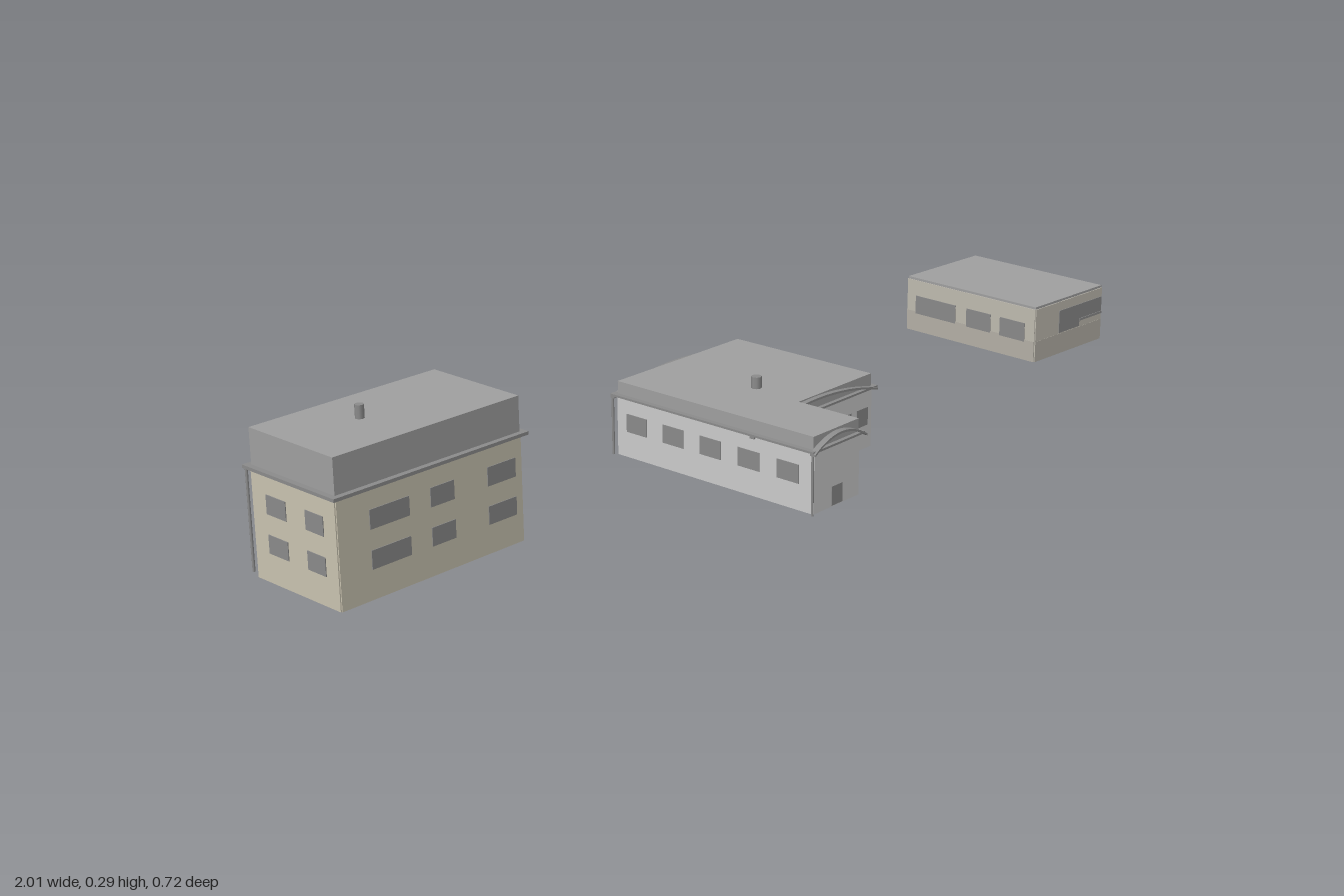
import * as THREE from 'three';

const mat = (color) => new THREE.MeshStandardMaterial({ color, side: THREE.DoubleSide });
const M = {
  roof: mat(0xa0a0a0), beige: mat(0xc9c3b0), stone: mat(0xbfbbb0), plinth: mat(0xb4b0a6),
  grey: mat(0xcccccc), window: mat(0x8a8a8a), glass: mat(0x8598a8), trim: mat(0x8c8c8c),
};

function add(parent, geometry, material, name) {
  const mesh = new THREE.Mesh(geometry, material);
  mesh.name = name;
  parent.add(mesh);
  return mesh;
}

// Horizontal slab over an outline of [x, z] corners
function slab(parent, pts, y0, y1, material, name) {
  const shape = new THREE.Shape(pts.map(([x, z]) => new THREE.Vector2(x, -z)));
  const geo = new THREE.ExtrudeGeometry(shape, { depth: y1 - y0, bevelEnabled: false });
  geo.rotateX(-Math.PI / 2).translate(0, y0, 0);
  return add(parent, geo, material, name);
}

// Upright panel lying along outline edge i, from distance s0 to s1
function panel(parent, pts, i, s0, s1, y0, y1, thick, material, name) {
  const [ax, az] = pts[i], [bx, bz] = pts[(i + 1) % pts.length];
  const len = Math.hypot(bx - ax, bz - az), s = (s0 + s1) / 2 / len;
  const mesh = add(parent, new THREE.BoxGeometry(s1 - s0, y1 - y0, thick), material, name);
  mesh.position.set(ax + (bx - ax) * s, (y0 + y1) / 2, az + (bz - az) * s);
  mesh.rotation.y = Math.atan2(az - bz, bx - ax);
}

// Thin walls round the outline, open underneath
function walls(parent, pts, y0, y1, material, name, thick = 0.004) {
  pts.forEach(([x, z], i) => {
    const [bx, bz] = pts[(i + 1) % pts.length];
    panel(parent, pts, i, 0, Math.hypot(bx - x, bz - z), y0, y1, thick, material, name);
  });
}

function windows(parent, pts, i, spans, y0, y1, material = M.window) {
  for (const [s0, s1] of spans) panel(parent, pts, i, s0, s1, y0, y1, 0.007, material, 'window');
}

function pole(parent, x, z, y0, y1, r, name) {
  const mesh = add(parent, new THREE.CylinderGeometry(r, r, y1 - y0, 8), M.trim, name);
  mesh.position.set(x, (y0 + y1) / 2, z);
}

// Bowed canopy across a gable, between x0 and x1
function arch(parent, x0, x1, z, y, rise, depth) {
  const mid = (x0 + x1) / 2, t = 0.004;
  const shape = new THREE.Shape();
  shape.moveTo(x0, y);
  shape.quadraticCurveTo(mid, y + rise * 2, x1, y);
  shape.lineTo(x1, y - t);
  shape.quadraticCurveTo(mid, y - t + rise * 2, x0, y - t);
  const geo = new THREE.ExtrudeGeometry(shape, { depth, bevelEnabled: false, curveSegments: 16 });
  add(parent, geo.translate(0, 0, z), M.trim, 'archedCanopy');
}

// Corners run back left, back right, front right, front left
const rect = (w, d) => [[-w / 2, -d / 2], [w / 2, -d / 2], [w / 2, d / 2], [-w / 2, d / 2]];

function place(root, name, x, z, angle) {
  const g = new THREE.Group();
  g.name = name;
  g.position.set(x, 0, z);
  g.rotation.y = angle;
  root.add(g);
  return g;
}

// Two-storey block with a deep flat roof
function tallHouse(root) {
  const g = place(root, 'tallHouse', -0.78, -0.012, 0.146);
  const w = 0.394, d = 0.212, p = rect(w, d);
  walls(g, p, 0, 0.195, M.beige, 'wall');
  slab(g, rect(w + 0.021, d + 0.021), 0.192, 0.198, M.trim, 'eaves');
  slab(g, p, 0.198, 0.262, M.roof, 'roof');
  for (const [y0, y1] of [[0.053, 0.086], [0.122, 0.156]]) {
    windows(g, p, 2, [[0.015, 0.078], [0.152, 0.203], [0.248, 0.33]], y0, y1);
    windows(g, p, 3, [[0.03, 0.075], [0.125, 0.175]], y0, y1);
    windows(g, p, 1, [[0.03, 0.075], [0.135, 0.18]], y0, y1);
    windows(g, p, 0, [[0.012, 0.125], [0.135, 0.255], [0.265, 0.382]], y0, y1);
  }
  for (const sx of [-1, 1]) pole(g, sx * (w / 2 + 0.006), -d / 2 - 0.006, 0.01, 0.195, 0.0025, 'downpipe');
  pole(g, -0.05, -0.006, 0.26, 0.286, 0.008, 'chimney');
}

// Single-storey L-shaped house, origin at its back left eave corner
function wingHouse(root) {
  const g = place(root, 'wingHouse', -0.235, -0.128, 0.16);
  const p = [[0.01, 0.01], [0.348, 0.01], [0.348, 0.338], [0.136, 0.338], [0.136, 0.474], [0.01, 0.474]];
  const eaves = [[0, 0], [0.358, 0], [0.358, 0.346], [0.144, 0.346], [0.144, 0.482], [0, 0.482]];
  walls(g, p, 0.022, 0.14, M.grey, 'wall');
  slab(g, eaves, 0.137, 0.141, M.trim, 'eaves');
  slab(g, p, 0.141, 0.165, M.roof, 'roof');
  arch(g, 0, 0.358, 0.338, 0.137, 0.026, 0.01);
  arch(g, 0, 0.358, 0, 0.137, 0.026, 0.01);
  arch(g, 0, 0.146, 0.474, 0.137, 0.024, 0.012);
  // Main front
  windows(g, p, 2, [[0.012, 0.045], [0.062, 0.095], [0.108, 0.141], [0.16, 0.193]], 0.068, 0.103);
  // Main right side
  windows(g, p, 1, [[0.02, 0.035], [0.08, 0.092], [0.155, 0.18], [0.225, 0.237], [0.262, 0.28], [0.295, 0.32]], 0.068, 0.102);
  windows(g, p, 1, [[0.055, 0.066], [0.12, 0.132], [0.205, 0.216], [0.248, 0.259]], 0.068, 0.102, M.glass);
  // Wing right side and front
  windows(g, p, 3, [[0.008, 0.048], [0.058, 0.072]], 0.07, 0.104);
  windows(g, p, 3, [[0.084, 0.097]], 0.07, 0.104, M.glass);
  windows(g, p, 4, [[0.048, 0.078]], 0.024, 0.06);
  // Left side and back
  windows(g, p, 5, [0.03, 0.12, 0.21, 0.3, 0.39].map((s) => [s, s + 0.05]), 0.072, 0.107);
  windows(g, p, 0, [0.03, 0.11, 0.19, 0.27].map((s) => [s, s + 0.04]), 0.07, 0.104);
  for (const [x, z] of [[0.003, 0.003], [0.355, 0.003], [0.003, 0.478]]) pole(g, x, z, 0.022, 0.14, 0.0025, 'downpipe');
  pole(g, 0.147, 0.229, 0.16, 0.187, 0.01, 'chimney');
}

// Low flat-roofed pavilion with ribbon windows
function pavilion(root) {
  const g = place(root, 'pavilion', 0.868, -0.178, 0.1);
  const p = rect(0.232, 0.344);
  walls(g, p, 0.022, 0.136, M.stone, 'wall');
  walls(g, p, 0.022, 0.066, M.plinth, 'plinth', 0.005);
  slab(g, p, 0.135, 0.141, M.roof, 'roof');
  windows(g, p, 1, [[0.004, 0.224], [0.233, 0.342]], 0.082, 0.117);
  windows(g, p, 2, [[0.002, 0.08]], 0.082, 0.117);
  windows(g, p, 2, [[0.08, 0.152]], 0.068, 0.117);
  panel(g, p, 2, 0.002, 0.08, 0.08, 0.085, 0.01, M.trim, 'sill');
  windows(g, p, 3, [[0.025, 0.09], [0.115, 0.18], [0.21, 0.32]], 0.062, 0.102);
  windows(g, p, 0, [[0.03, 0.1], [0.13, 0.228]], 0.082, 0.117);
}

export function createModel() {
  const root = new THREE.Group();
  root.name = 'buildings';
  tallHouse(root);
  wingHouse(root);
  pavilion(root);
  return root;
}
